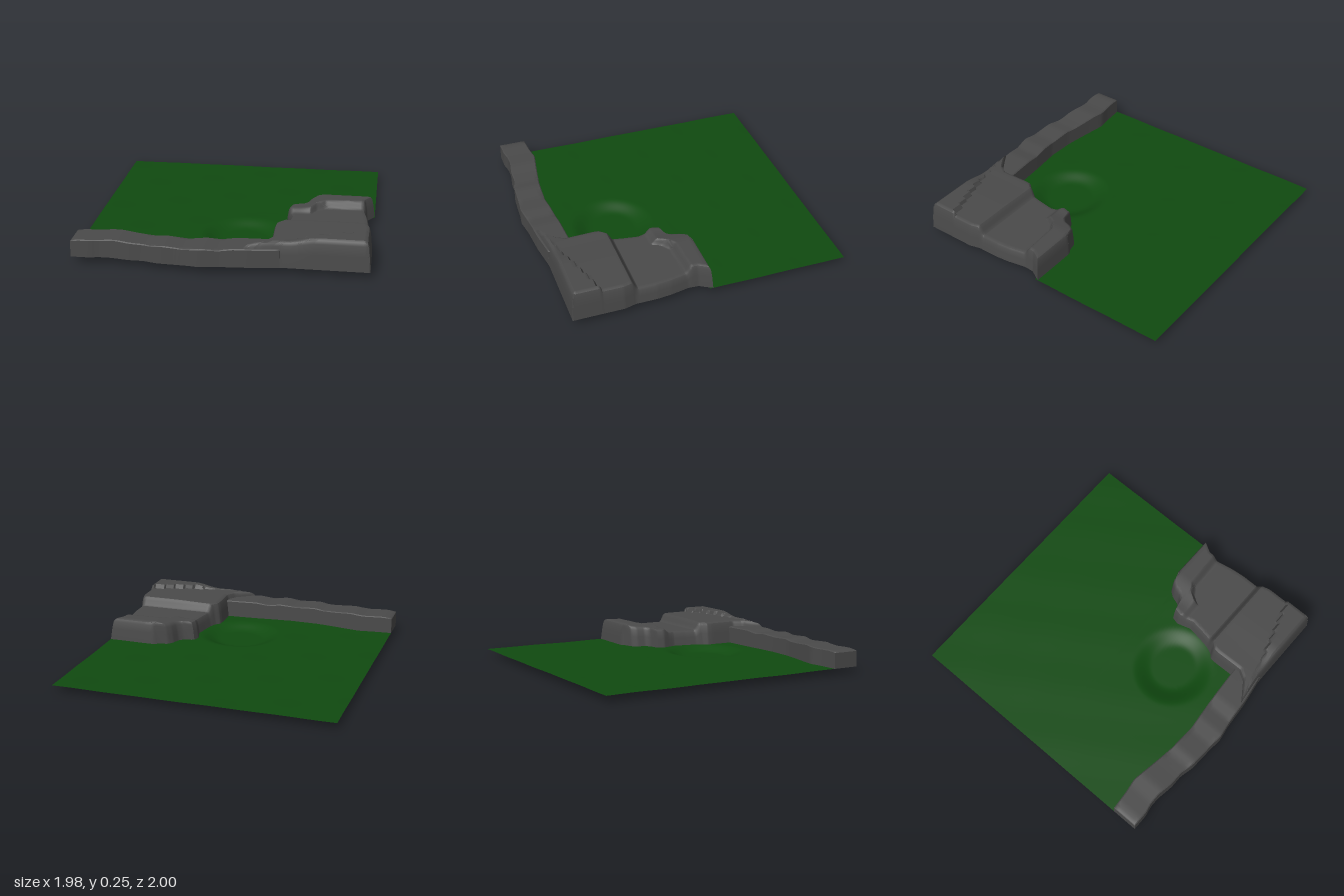
import * as THREE from 'three';
import { toCreasedNormals } from 'three/addons/utils/BufferGeometryUtils.js';

const BASE = 0.045;
const smooth = THREE.MathUtils.smoothstep;
const lerp = THREE.MathUtils.lerp;

// Piecewise-linear lookup through [position, value] pairs
function along(points, t) {
  if (t <= points[0][0]) return points[0][1];
  for (let i = 1; i < points.length; i++) {
    const [a, va] = points[i - 1], [b, vb] = points[i];
    if (t <= b) return lerp(va, vb, (t - a) / (b - a));
  }
  return points[points.length - 1][1];
}

// Sheet of (nx + 1) x (nz + 1) points placed by a rule, facing up
function sheet(nx, nz, place, crease) {
  const positions = [], index = [];
  for (let j = 0; j <= nz; j++) {
    for (let i = 0; i <= nx; i++) positions.push(...place(i, j));
  }
  for (let j = 0; j < nz; j++) {
    for (let i = 0; i < nx; i++) {
      const a = j * (nx + 1) + i, b = a + 1, c = a + nx + 1, d = c + 1;
      index.push(a, c, b, b, c, d);
    }
  }
  const geometry = new THREE.BufferGeometry();
  geometry.setAttribute('position', new THREE.Float32BufferAttribute(positions, 3));
  geometry.setIndex(index);
  return toCreasedNormals(geometry, crease);
}

// Position between two edges; the outer steps on each side form the side wall and its bevel
function inset(i, n, low, high, bevel) {
  const k = bevel.length;
  if (i < k) return { at: low + bevel[i][0], rise: bevel[i][1] };
  if (i > n - k) return { at: high - bevel[n - i][0], rise: bevel[n - i][1] };
  const w = bevel[k - 1][0];
  return { at: lerp(low + w, high - w, (i - k + 1) / (n - 2 * k + 2)), rise: 1 };
}

// Lawn: nearly flat, with a shallow pond hollow, cut back under the rocks
const lawnRight = [[0, 0.985], [0.03, 0.7], [0.08, 0.52], [0.3, 0.46], [0.5, 0.48], [0.7, 0.56], [0.8, 0.45]];
function lawnGeometry() {
  const n = 90;
  return sheet(n, n, (i, j) => {
    const z = lerp(-1, 0.81, j / n);
    const x = lerp(-0.99, along(lawnRight, z), i / n);
    const r = Math.hypot(x - 0.1, (z - 0.39) * 1.05);
    const dip = 1 - smooth(r, 0.16, 0.31);
    const bumps = 0.0015 * Math.sin(9 * x + 3 * z) * Math.sin(11 * z - 4 * x);
    return [x, BASE - 0.045 * dip + bumps * (1 - dip), z];
  }, 0.8);
}

// Low front wall: wavy in plan and along its top
const wallBack = [[-0.99, 0.76], [-0.85, 0.75], [-0.75, 0.735], [-0.6, 0.76], [-0.4, 0.79],
  [-0.2, 0.8], [0, 0.78], [0.15, 0.77], [0.4, 0.755]];
const wallFront = [[-0.99, 0.95], [-0.87, 0.95], [-0.8, 0.935], [-0.72, 0.935], [-0.6, 0.955], [-0.5, 0.955],
  [-0.4, 0.98], [-0.2, 0.99], [-0.12, 1], [0, 0.98], [0.2, 0.965], [0.4, 0.935]];
const wallTop = [[-0.99, 0.16], [-0.93, 0.168], [-0.8, 0.166], [-0.68, 0.175], [-0.55, 0.165], [-0.45, 0.161],
  [-0.37, 0.17], [-0.22, 0.16], [-0.1, 0.17], [0, 0.16], [0.1, 0.173], [0.4, 0.17]];
function wallGeometry() {
  const nx = 60, nz = 10, bevel = [[0, 0], [0.001, 0.95], [0.008, 1]];
  return sheet(nx, nz, (i, j) => {
    const u = inset(i, nx, -0.99, 0.4, bevel);
    const v = inset(j, nz, along(wallBack, u.at), along(wallFront, u.at), bevel);
    return [u.at, BASE + (along(wallTop, u.at) - BASE) * Math.min(u.rise, v.rise), v.at];
  }, 0.7);
}

// Rock terrace: outline on both sides, given as x at each z
const rockLeft = [[-0.035, 0.64], [-0.01, 0.6], [0, 0.54], [0.04, 0.51], [0.1, 0.49], [0.13, 0.46], [0.145, 0.385],
  [0.2, 0.37], [0.3, 0.4], [0.4, 0.385], [0.48, 0.37], [0.53, 0.35], [0.56, 0.32], [0.6, 0.315], [0.8, 0.32],
  [0.86, 0.28], [0.9, 0.2], [0.935, 0.12]];
const rockRight = [[-0.035, 0.985], [0, 0.965], [0.05, 0.935], [0.12, 0.93], [0.25, 0.955], [0.35, 0.965],
  [0.5, 0.965], [0.58, 0.985], [0.935, 0.985]];
const backLip = [[0.4, 0.24], [0.54, 0.235], [0.58, 0.17], [0.64, 0.13], [0.95, 0.115]];
const upperLip = [[0.12, 0.945], [0.3, 0.905], [0.5, 0.87], [0.7, 0.81], [0.97, 0.73]];

function rockHeight(x, z) {
  const lip = along(backLip, x);
  const back = lerp(0.185, 0.212, smooth(x, 0.45, 0.65)) - 0.155;
  const terrace = 0.06 + 0.006 * smooth(x, 0.4, 0.7) - 0.008 * (1 - smooth(x, 0.15, 0.4));
  // stepped edge of the top ledge
  const stair = along(upperLip, Math.round(x / 0.075) * 0.075);
  const ledge = 0.006 + 0.026 * smooth(x, 0.44, 0.64);
  return 0.155 + back * (1 - smooth(z, lip - 0.03, lip + 0.02))
    + terrace * smooth(z, 0.475, 0.525)
    + ledge * smooth(z, stair - 0.008, stair + 0.008);
}

function rockGeometry() {
  const nx = 80, nz = 110;
  const side = [[0, 0], [0.008, 0.5], [0.016, 0.84], [0.024, 0.95], [0.04, 1]];
  const end = [[0, 0], [0.006, 0.5], [0.012, 0.84], [0.02, 0.95], [0.034, 1]];
  return sheet(nx, nz, (i, j) => {
    const v = inset(j, nz, -0.035, 0.935, end);
    const u = inset(i, nx, along(rockLeft, v.at), along(rockRight, v.at), side);
    const x = u.at;
    // the front bows outward where it meets the wall
    const z = v.at + 0.13 * Math.max(0, 0.4 - x) * smooth(v.at, 0.8, 0.935);
    return [x, BASE + (rockHeight(x, v.at) - BASE) * Math.min(u.rise, v.rise), z];
  }, 0.6);
}

export function createModel() {
  const group = new THREE.Group();
  group.name = 'gardenTerrain';
  const grass = new THREE.MeshStandardMaterial({ color: 0x104a10, side: THREE.DoubleSide });
  const stone = new THREE.MeshStandardMaterial({ color: 0x4a4a4a, side: THREE.DoubleSide });
  const add = (name, geometry, material) => {
    const mesh = new THREE.Mesh(geometry, material);
    mesh.name = name;
    group.add(mesh);
  };
  add('lawn', lawnGeometry(), grass);
  add('frontWall', wallGeometry(), stone);
  add('rockTerrace', rockGeometry(), stone);
  return group;
}
